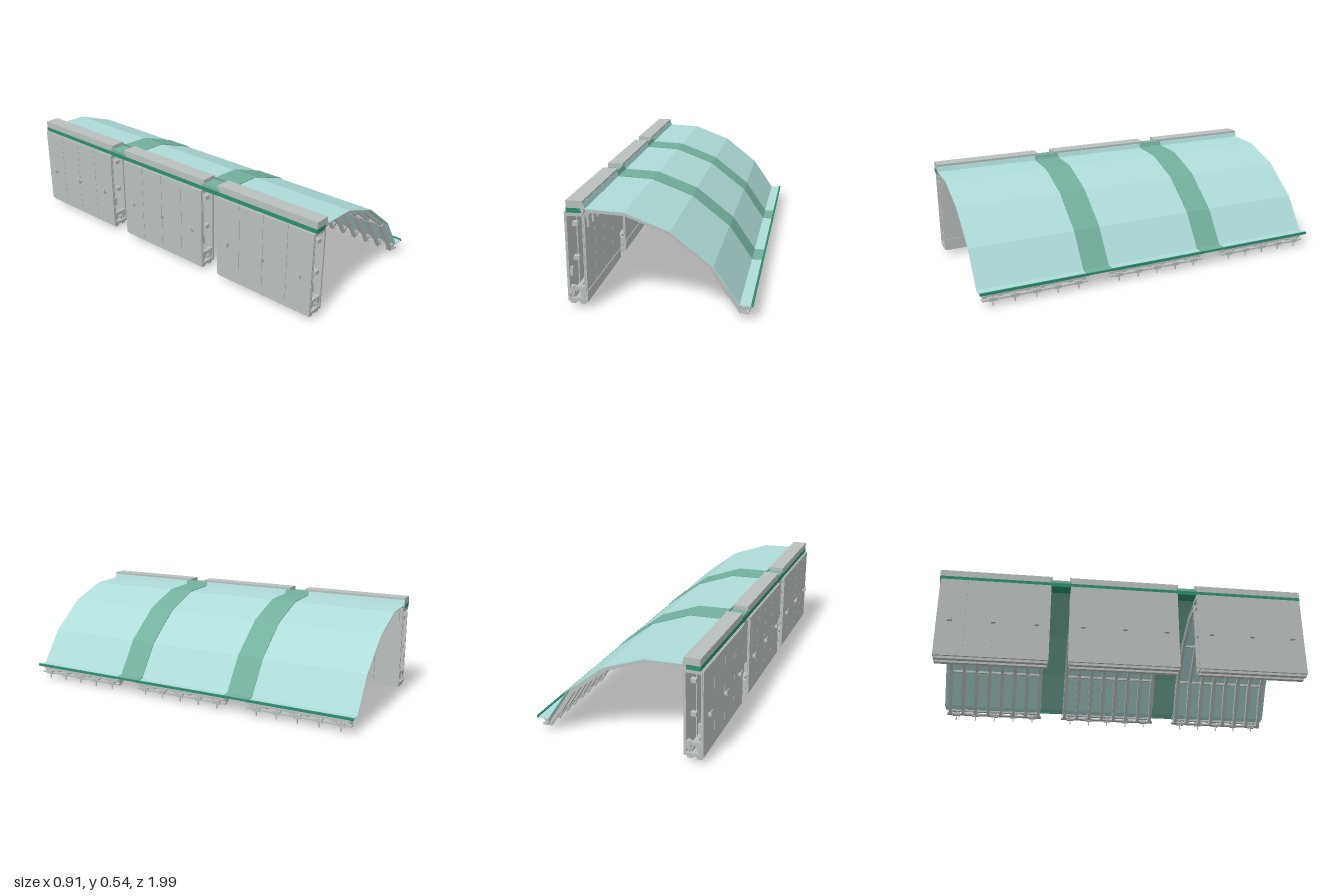
import * as THREE from 'three';

const mat = (name, color) => {
  const m = new THREE.MeshStandardMaterial({ color });
  m.name = name;
  return m;
};

export function createModel() {
  const root = new THREE.Group();
  root.name = 'shelter';
  const grey = mat('metal grey', 0xb9bfbd);
  const teal = mat('pale teal skin', 0xaedcd9);
  const green = mat('sage green strip', 0x74b09e);
  const deep = mat('deep green trim', 0x2b8f70);

  // Box given by its limits on each axis
  function box(parent, name, m, x0, x1, y0, y1, z0, z1) {
    const mesh = new THREE.Mesh(new THREE.BoxGeometry(x1 - x0, y1 - y0, z1 - z0), m);
    mesh.position.set((x0 + x1) / 2, (y0 + y1) / 2, (z0 + z1) / 2);
    mesh.name = name;
    parent.add(mesh);
    return mesh;
  }

  // Shifts a polyline sideways by d, mitred at the bends (positive = upward)
  function offset(points, d) {
    return points.map((p, i) => {
      const a = points[Math.max(i - 1, 0)], b = points[Math.min(i + 1, points.length - 1)];
      const normal = (u, v) => new THREE.Vector2(u[1] - v[1], v[0] - u[0]).normalize();
      const n0 = i ? normal(a, p) : normal(p, b);
      const n1 = i < points.length - 1 ? normal(p, b) : n0;
      const n = n0.clone().add(n1).normalize();
      const k = d / Math.max(n.dot(n0), 0.4);
      return [p[0] + n.x * k, p[1] + n.y * k];
    });
  }

  // Folded sheet or beam: the profile between two offsets, extruded along z
  function band(parent, name, m, profile, top, bottom, z0, z1) {
    const outline = [...offset(profile, top), ...offset(profile, bottom).reverse()];
    const shape = new THREE.Shape(outline.map(([x, y]) => new THREE.Vector2(x, y)));
    const geo = new THREE.ExtrudeGeometry(shape, { depth: z1 - z0, bevelEnabled: false });
    const mesh = new THREE.Mesh(geo, m);
    mesh.position.z = z0;
    mesh.name = name;
    parent.add(mesh);
  }

  const skin = [[-0.342, 0.53], [-0.333, 0.504], [-0.148, 0.497], [0.067, 0.417],
    [0.267, 0.26], [0.39, 0.08], [0.448, 0.08]];
  const ribLine = [[-0.335, 0.496], [-0.15, 0.489], [0.062, 0.41], [0.26, 0.255], [0.405, 0.034]];
  const lowerRib = [[0.26, 0.25], [0.345, 0.115]];

  // Roof skins, joining strips and eave trims
  for (const [z0, z1] of [[-0.995, -0.415], [-0.28, 0.28], [0.415, 0.995]]) {
    band(root, 'roofSkin', teal, skin, 0, -0.004, z0, z1);
    box(root, 'eaveTrim', deep, 0.443, 0.452, 0.073, 0.086, z0, z1);
  }
  for (const s of [-1, 1]) {
    const z = s * 0.348;
    band(root, 'joiningStrip', green, skin, 0.004, 0.0005, z - 0.073, z + 0.073);
    box(root, 'joiningCap', green, -0.425, -0.34, 0.505, 0.52, z - 0.058, z + 0.058);
    box(root, 'stripEaveTrim', deep, 0.443, 0.452, 0.075, 0.085, z - 0.073, z + 0.073);
  }
  box(root, 'gasket', deep, -0.425, -0.355, 0.482, 0.505, -0.995, 0.995);

  function wall(unit) {
    // Panels, four to each face, with battens behind the seams
    const w = 0.588 / 4;
    for (let i = 0; i < 4; i++) {
      const z = -0.294 + i * w;
      box(unit, 'outerPanel', grey, -0.437, -0.43, 0.05, 0.48, z + 0.001, z + w - 0.001);
      box(unit, 'innerPanel', grey, -0.345, -0.338, 0.05, 0.475, z + 0.001, z + w - 0.001);
    }
    for (let i = 0; i < 5; i++) {
      const z = -0.289 + i * 0.1445;
      box(unit, 'outerBatten', grey, -0.43, -0.424, 0.05, 0.475, z - 0.006, z + 0.006);
      box(unit, 'innerBatten', grey, -0.351, -0.345, 0.05, 0.475, z - 0.006, z + 0.006);
    }
    // Base and head rails
    box(unit, 'baseTray', grey, -0.437, -0.338, 0.033, 0.05, -0.294, 0.294);
    box(unit, 'headRail', grey, -0.43, -0.345, 0.463, 0.473, -0.294, 0.294);
    box(unit, 'headPlate', grey, -0.43, -0.345, 0.473, 0.483, -0.294, 0.294);
    for (const x of [-0.415, -0.367]) {
      box(unit, 'baseRunner', grey, x - 0.012, x + 0.012, 0.02, 0.033, -0.29, 0.29);
      box(unit, 'cornerFlange', grey, x - 0.011, x + 0.011, 0.05, 0.068, -0.28, 0.28);
    }
    box(unit, 'innerLedge', grey, -0.338, -0.334, 0.085, 0.092, -0.285, 0.285);
    box(unit, 'innerUpperLedge', grey, -0.338, -0.332, 0.462, 0.472, -0.285, 0.285);
    // Fittings in the open ends
    for (const s of [-1, 1]) {
      const z = s * 0.28;
      for (const y of [0.255, 0.425])
        box(unit, 'spacerBlock', grey, -0.4, -0.372, y - 0.01, y + 0.01, z - 0.012, z + 0.012);
      box(unit, 'latch', grey, -0.422, -0.408, 0.16, 0.205, z - 0.01, z + 0.01);
      box(unit, 'jackBeam', grey, -0.42, -0.35, 0.087, 0.107, z - 0.008, z + 0.008);
      for (const x of [-0.414, -0.361]) {
        box(unit, 'jackBody', grey, x - 0.011, x + 0.011, 0.07, 0.11, z - 0.012, z + 0.012);
        const foot = new THREE.Mesh(new THREE.CylinderGeometry(0.008, 0.008, 0.03, 10), grey);
        foot.position.set(x, 0.062, z);
        foot.name = 'jackFoot';
        unit.add(foot);
      }
      box(unit, 'endPostOuter', grey, -0.43, -0.424, 0.05, 0.465, z - 0.01, z + 0.012);
      box(unit, 'endPostInner', grey, -0.351, -0.345, 0.05, 0.465, z - 0.01, z + 0.012);
    }
    // Hooks on the outer face
    for (const z of [-0.225, 0, 0.225]) {
      box(unit, 'hookArm', grey, -0.452, -0.436, 0.228, 0.24, z - 0.012, z + 0.012);
      box(unit, 'hookLip', grey, -0.455, -0.45, 0.228, 0.255, z - 0.012, z + 0.012);
    }
    // Ridge cap
    box(unit, 'ridgeCap', grey, -0.424, -0.343, 0.505, 0.541, -0.3, 0.3);
    box(unit, 'ridgeLip', grey, -0.355, -0.338, 0.49, 0.51, -0.3, 0.3);
  }

  function roofFrame(unit) {
    // Folded ribs with bracket plates at the wall
    for (let i = 0; i < 8; i++) {
      const z = -0.266 + i * 0.076;
      band(unit, 'rib', grey, ribLine, 0, -0.018, z - 0.009, z + 0.009);
      band(unit, 'ribSleeve', grey, lowerRib, 0.004, -0.018, z - 0.012, z + 0.012);
      box(unit, 'wallBracket', grey, -0.332, -0.322, 0.41, 0.472, z - 0.014, z + 0.014);
      box(unit, 'bracketArm', grey, -0.34, -0.328, 0.455, 0.49, z - 0.009, z + 0.009);
      // Small seat tying each rib to the ground rail
      box(unit, 'railSeat', grey, 0.4, 0.416, 0.03, 0.062, z - 0.012, z + 0.012);
    }
    // Purlins under the folds
    for (const [x, y] of [[-0.15, 0.482], [0.06, 0.402], [0.255, 0.248]])
      box(unit, 'purlin', grey, x - 0.006, x + 0.006, y - 0.006, y + 0.006, -0.275, 0.275);
    // Ground rail and anchor pegs
    box(unit, 'groundRail', grey, 0.404, 0.432, 0.03, 0.038, -0.285, 0.285);
    box(unit, 'upperRail', grey, 0.41, 0.43, 0.052, 0.062, -0.275, 0.275);
    for (const z of [-0.23, -0.115, 0, 0.115, 0.23]) {
      box(unit, 'anchorPeg', grey, 0.424, 0.428, 0, 0.066, z - 0.003, z + 0.003);
      box(unit, 'pegPlate', grey, 0.415, 0.434, 0.026, 0.046, z - 0.02, z + 0.02);
    }
  }

  // Three identical bays along the length
  for (const z of [-0.695, 0, 0.695]) {
    const bay = new THREE.Group();
    bay.name = 'bay';
    bay.position.z = z;
    const wallUnit = new THREE.Group();
    wallUnit.name = 'wallUnit';
    const frame = new THREE.Group();
    frame.name = 'roofFrame';
    wall(wallUnit);
    roofFrame(frame);
    bay.add(wallUnit, frame);
    root.add(bay);
  }
  return root;
}
